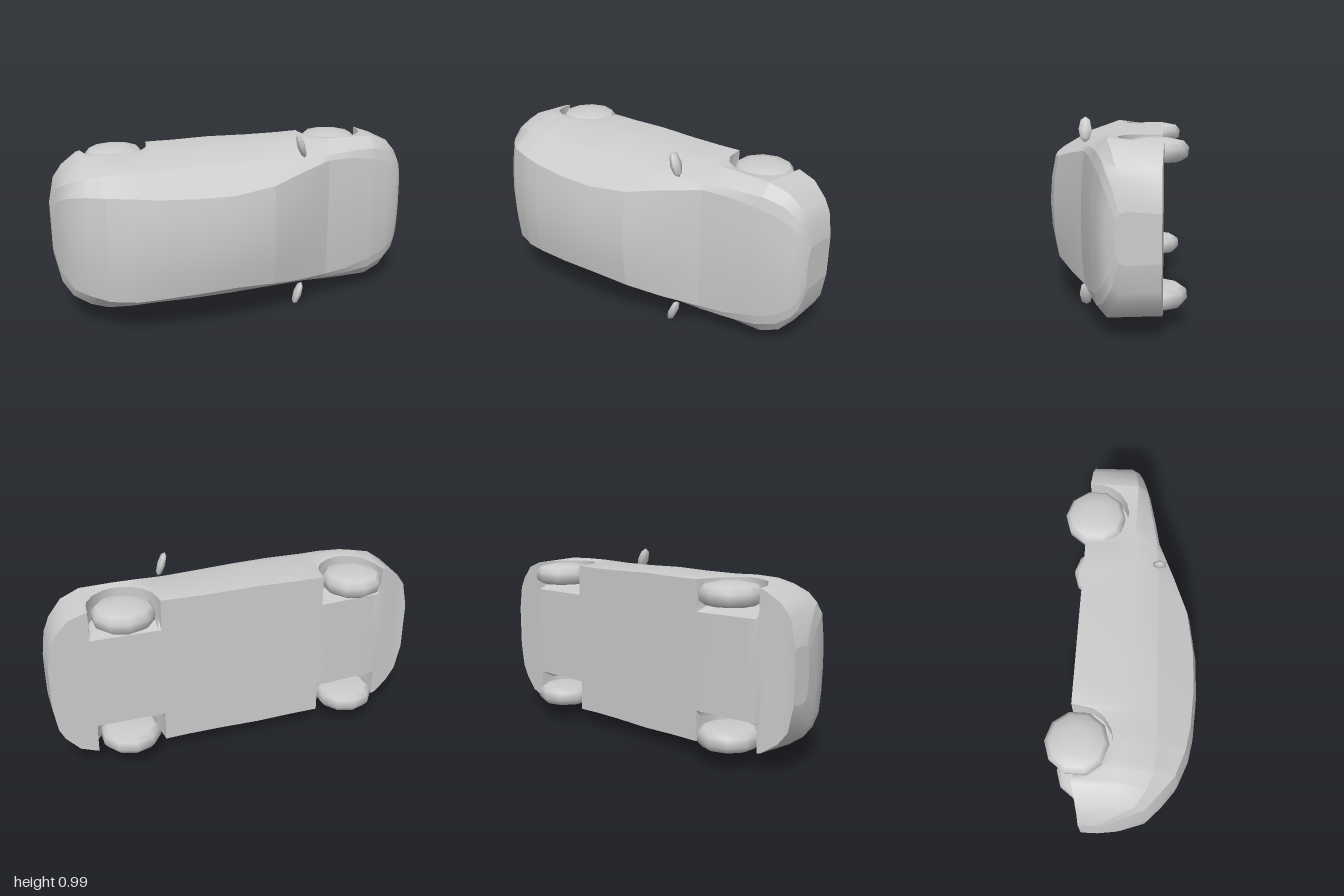
import * as THREE from 'three';
import { toCreasedNormals } from 'three/addons/utils/BufferGeometryUtils.js';

// The car lies on its side: nose toward +x, roof toward +z, width along y around MID.
const MID = 0.5;
const WHEEL_X = [-0.635, 0.605];
const WHEEL_Z = -0.22;
const ARCH_R = 0.178;

// x, bottom, side half width, belt half width, belt height, roof edge half width, roof edge height, crown height
const STATIONS = [
  [-1.00, -.20, .14, .13, -.11, .10, -.095, -.085],
  [-0.97, -.20, .28, .26, -.02, .20, .01, .025],
  [-0.92, -.21, .345, .31, .08, .25, .13, .155],
  [-0.84, -.23, .40, .345, .13, .27, .20, .23],
  [-0.75, -.24, .42, .36, .165, .28, .27, .295],
  [-0.62, -.25, .425, .365, .17, .28, .315, .345],
  [-0.50, -.26, .42, .365, .165, .27, .335, .365],
  [-0.30, -.26, .42, .37, .16, .26, .345, .375],
  [-0.10, -.26, .425, .37, .15, .255, .335, .366],
  [0.12, -.26, .42, .365, .14, .275, .295, .325],
  [0.30, -.26, .42, .362, .13, .31, .215, .24],
  [0.48, -.26, .425, .36, .115, .335, .13, .147],
  [0.62, -.26, .425, .365, .085, .33, .10, .118],
  [0.78, -.26, .42, .36, .05, .30, .065, .082],
  [0.88, -.255, .385, .33, .02, .27, .035, .052],
  [0.95, -.25, .31, .275, -.005, .22, .01, .024],
  [0.98, -.25, .25, .225, -.03, .17, -.015, -.005],
  [1.00, -.25, .12, .11, -.06, .08, -.05, -.045],
];

const material = new THREE.MeshStandardMaterial({ color: 0xcccccc });

function stationAt(x) {
  let i = 0;
  while (i < STATIONS.length - 2 && x > STATIONS[i + 1][0]) i++;
  const a = STATIONS[i], b = STATIONS[i + 1];
  const t = (x - a[0]) / (b[0] - a[0]);
  return a.map((v, k) => v + (b[k] - v) * t);
}

// Half cross-section from the bottom centre to the roof centre
function halfSection(x) {
  const [, bottom, side, beltW, beltH, edgeW, edgeH, top] = stationAt(x);
  let arch = bottom;
  for (const wx of WHEEL_X) {
    const d = Math.abs(x - wx);
    if (d <= ARCH_R + 1e-4) arch = Math.max(bottom, WHEEL_Z + Math.sqrt(Math.max(0, ARCH_R ** 2 - d * d)));
  }
  return [
    [0, bottom],
    [Math.min(0.25, side * 0.65), bottom],
    [Math.min(0.29, side * 0.8), arch],
    [side - 0.01, arch],
    [side, Math.min(0, beltH - 0.04)],
    [beltW, beltH],
    [edgeW, edgeH],
    [edgeW * 0.55, top - (top - edgeH) * 0.3],
    [0, top],
  ];
}

// Station positions, with extra ones around the wheel arches
const xs = STATIONS.map((s) => s[0]);
for (const wx of WHEEL_X) {
  for (let i = 0; i <= 8; i++) xs.push(wx + ARCH_R * Math.cos((i / 8) * Math.PI));
  xs.push(wx - ARCH_R - 0.003, wx + ARCH_R + 0.003);
}
xs.sort((a, b) => a - b);

// Ring point j: 0 is the bottom centre, 8 the roof centre, 9 to 16 the mirrored side
function ringPoint(x, j) {
  const k = ((j % 16) + 16) % 16;
  const [w, h] = halfSection(x)[k <= 8 ? k : 16 - k];
  return [x, MID + (k <= 8 ? w : -w), h];
}

function meshFrom(name, positions, crease = 0.65) {
  const g = new THREE.BufferGeometry();
  g.setAttribute('position', new THREE.Float32BufferAttribute(positions, 3));
  const mesh = new THREE.Mesh(toCreasedNormals(g, crease), material);
  mesh.name = name;
  return mesh;
}

// Skin panel between ring points j0..j1 and stations x0..x1
function panel(name, j0, j1, x0 = -1, x1 = 1) {
  const cols = xs.filter((x) => x >= x0 - 1e-6 && x <= x1 + 1e-6);
  const pos = [];
  for (let s = 0; s < cols.length - 1; s++) {
    for (let j = j0; j < j1; j++) {
      const a = ringPoint(cols[s], j), b = ringPoint(cols[s], j + 1);
      const c = ringPoint(cols[s + 1], j), d = ringPoint(cols[s + 1], j + 1);
      pos.push(...a, ...b, ...c, ...b, ...d, ...c);
    }
  }
  return meshFrom(name, pos);
}

// Flat end closing the skin
function endCap(name, x) {
  const pos = [];
  const centre = [x, MID, (ringPoint(x, 0)[2] + ringPoint(x, 8)[2]) / 2];
  for (let j = 0; j < 16; j++) {
    const a = ringPoint(x, j), b = ringPoint(x, j + 1);
    pos.push(...centre, ...(x > 0 ? a : b), ...(x > 0 ? b : a));
  }
  return meshFrom(name, pos);
}

export function createModel() {
  const car = new THREE.Group();
  car.name = 'car';

  // Body panels
  car.add(
    panel('lowerBody', -5, 5),
    panel('leftWindows', 5, 6),
    panel('rightWindows', 10, 11),
    panel('tailgate', 6, 10, -1, -0.75),
    panel('rearWindow', 6, 10, -0.75, -0.5),
    panel('roof', 6, 10, -0.5, 0.12),
    panel('windshield', 6, 10, 0.12, 0.48),
    panel('hood', 6, 10, 0.48, 1),
    endCap('rearBumper', -1),
    endCap('frontBumper', 1),
  );

  // Wheels: rounded low-poly discs with the domed face outward
  const profile = [[0, -.055], [.125, -.055], [.155, -.035], [.16, .01], [.135, .04], [.07, .053], [0, .055]];
  const wheelGeo = new THREE.LatheGeometry(profile.map(([r, y]) => new THREE.Vector2(r, y)), 10);
  // Door mirrors: small faceted pods
  const mirrorGeo = new THREE.SphereGeometry(1, 6, 4);

  for (const side of [1, -1]) {
    const sideName = side > 0 ? 'upper' : 'lower';
    WHEEL_X.forEach((x, i) => {
      const wheel = new THREE.Mesh(wheelGeo, material);
      wheel.name = sideName + (i ? 'FrontWheel' : 'RearWheel');
      wheel.position.set(x, MID + side * 0.357, WHEEL_Z);
      if (side < 0) wheel.rotation.x = Math.PI;
      car.add(wheel);
    });
    const mirror = new THREE.Mesh(mirrorGeo, material);
    mirror.name = sideName + 'Mirror';
    mirror.scale.set(0.022, 0.068, 0.038);
    mirror.rotation.z = side * 0.33;
    mirror.position.set(0.315, MID + side * 0.43, 0.135);
    car.add(mirror);
  }
  return car;
}
